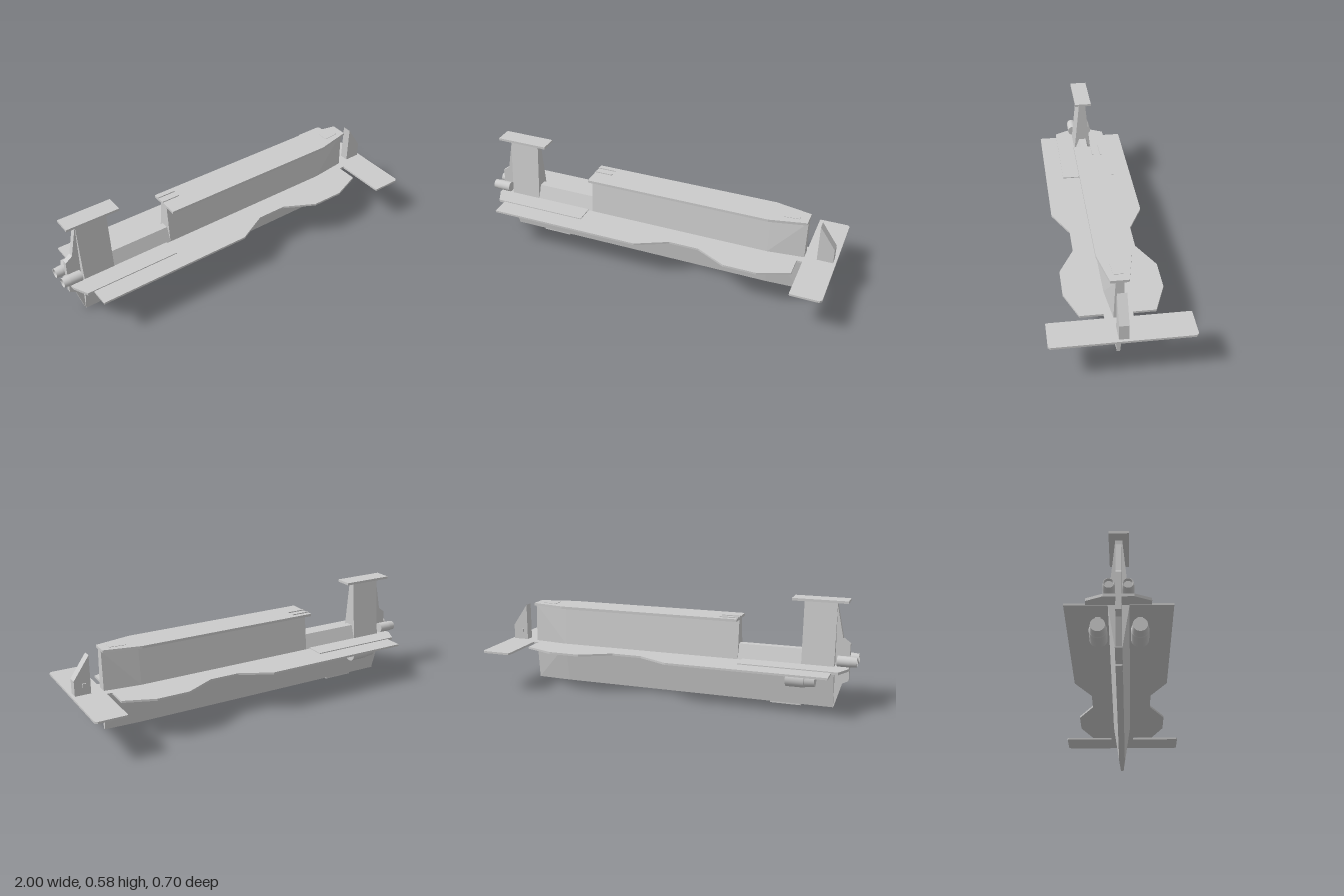
import * as THREE from 'three';
import { ConvexGeometry } from 'three/addons/geometries/ConvexGeometry.js';

export function createModel() {
  const root = new THREE.Group();
  const flat = new THREE.MeshStandardMaterial({ color: 0xcccccc, flatShading: true });
  const smooth = new THREE.MeshStandardMaterial({ color: 0xcccccc });

  const add = (name, geometry, material = flat, parent = root) => {
    const mesh = new THREE.Mesh(geometry, material);
    mesh.name = name;
    parent.add(mesh);
    return mesh;
  };

  const box = (name, x0, x1, y0, y1, z0, z1, parent) =>
    add(name, new THREE.BoxGeometry(x1 - x0, y1 - y0, z1 - z0), flat, parent)
      .position.set((x0 + x1) / 2, (y0 + y1) / 2, (z0 + z1) / 2);

  // Convex body from stations [x, yBottom, halfWidthBottom, yTop, halfWidthTop]
  const body = (name, stations) => {
    const points = [];
    for (const [x, y0, w0, y1, w1] of stations)
      for (const s of [-1, 1])
        points.push(new THREE.Vector3(x, y0, s * w0), new THREE.Vector3(x, y1, s * w1));
    return add(name, new ConvexGeometry(points));
  };

  // Horizontal plate from half an outline [x, z], mirrored across z
  const plate = (name, half, y0, y1) => {
    const outline = [...half, ...half.map(([x, z]) => [x, -z]).reverse()];
    const shape = new THREE.Shape(outline.map(([x, z]) => new THREE.Vector2(x, z)));
    const geo = new THREE.ExtrudeGeometry(shape, { depth: y1 - y0, bevelEnabled: false });
    geo.rotateX(Math.PI / 2).translate(0, y1, 0);
    return add(name, geo);
  };

  // Upright fin from a side profile [x, y]
  const fin = (name, profile, halfWidth) => {
    const shape = new THREE.Shape(profile.map(([x, y]) => new THREE.Vector2(x, y)));
    const geo = new THREE.ExtrudeGeometry(shape, { depth: halfWidth * 2, bevelEnabled: false });
    return add(name, geo.translate(0, 0, -halfWidth));
  };

  // Turned part along x from [x, radius]; duplicated points keep the rims sharp
  const turned = (name, profile, y, z, parent) => {
    const pts = profile.flatMap(([x, r], i) => {
      const p = new THREE.Vector2(r, x);
      return i > 0 && i < profile.length - 1 ? [p, p.clone()] : [p];
    });
    const geo = new THREE.LatheGeometry(pts, 32).rotateZ(-Math.PI / 2);
    add(name, geo, smooth, parent).position.set(0, y, z);
  };

  // Hull below and above the wing
  body('lowerHull', [
    [-0.885, 0.008, 0.017, 0.225, 0.05],
    [0.64, 0.008, 0.017, 0.225, 0.05],
    [0.835, 0.008, 0.008, 0.225, 0.028],
  ]);
  body('upperHull', [
    [-0.375, 0.23, 0.05, 0.442, 0.027],
    [0.64, 0.23, 0.05, 0.442, 0.027],
    [0.835, 0.23, 0.028, 0.442, 0.02],
  ]);
  body('aftDeckhouse', [
    [-0.885, 0.23, 0.05, 0.31, 0.02],
    [-0.375, 0.23, 0.05, 0.31, 0.02],
  ]);
  box('keelPad', -0.715, -0.55, 0, 0.012, -0.016, 0.016);

  // Waisted main wing with its raised aft panel
  plate('mainWing', [
    [-0.885, 0.25], [-0.035, 0.25], [0.135, 0.165], [0.3, 0.165],
    [0.465, 0.25], [0.64, 0.25], [0.805, 0.185], [0.805, 0.07], [0.84, 0.07],
  ], 0.22, 0.231);
  plate('aftWingPanel', [
    [-0.96, 0.07], [-0.92, 0.15], [-0.4, 0.15],
  ], 0.222, 0.236);

  // Bow plane with clipped corners, and its fin
  plate('bowPlane', [
    [0.835, 0.345], [0.84, 0.35], [0.988, 0.35], [1, 0.338],
  ], 0.22, 0.231);
  fin('bowFin', [[0.9, 0.23], [0.985, 0.23], [0.985, 0.312], [0.9, 0.435]], 0.024);
  box('bowFinFitting', 0.925, 0.945, 0.272, 0.292, -0.031, -0.02);

  // Long flat top deck with low panel strips
  plate('topDeck', [[-0.375, 0.087], [0.64, 0.087], [0.835, 0.045]], 0.441, 0.455);
  box('deckRailInner', -0.375, -0.275, 0.454, 0.46, -0.016, -0.008);
  box('deckRailOuter', -0.375, -0.275, 0.454, 0.46, -0.06, -0.052);
  plate('bowDeckPanel', [[0.705, 0.032], [0.79, 0.024]], 0.454, 0.457);

  // Stern tower and its cap
  body('sternTower', [
    [-0.885, 0.23, 0.05, 0.57, 0.016],
    [-0.715, 0.23, 0.05, 0.57, 0.016],
  ]);
  box('towerCap', -0.943, -0.655, 0.567, 0.58, -0.047, 0.047);
  fin('rudder', [
    [-0.88, 0.01], [-0.88, 0.56], [-0.887, 0.54], [-0.92, 0.38],
    [-0.958, 0.352], [-0.958, 0.158], [-0.925, 0.14], [-0.887, 0.012],
  ], 0.014);

  // Mirrored engines: stern thrusters and underwing pods
  for (const side of [-1, 1]) {
    const label = side > 0 ? 'front' : 'back';
    const thruster = new THREE.Group();
    thruster.name = label + 'SternThruster';
    root.add(thruster);
    turned('thrusterBody', [
      [-0.985, 0], [-0.985, 0.019], [-1, 0.022], [-1, 0.025], [-0.965, 0.028], [-0.9, 0.028], [-0.9, 0],
    ].reverse().map(([x, r]) => [x, r]).reverse(), 0.267, side * 0.043, thruster);

    const pod = new THREE.Group();
    pod.name = label + 'UnderwingPod';
    root.add(pod);
    turned('podBody', [
      [-0.8, 0], [-0.8, 0.035], [-0.75, 0.04], [-0.745, 0.043], [-0.65, 0.043], [-0.65, 0],
    ], 0.169, side * 0.098, pod);
    const z = side * 0.098;
    box('pylon', -0.775, -0.67, 0.2, 0.222, z - 0.0125, z + 0.0125, pod);
  }

  // Lathe profiles run aft to fore, so check they face outward via double-sided shading
  smooth.side = THREE.DoubleSide;
  return root;
}
